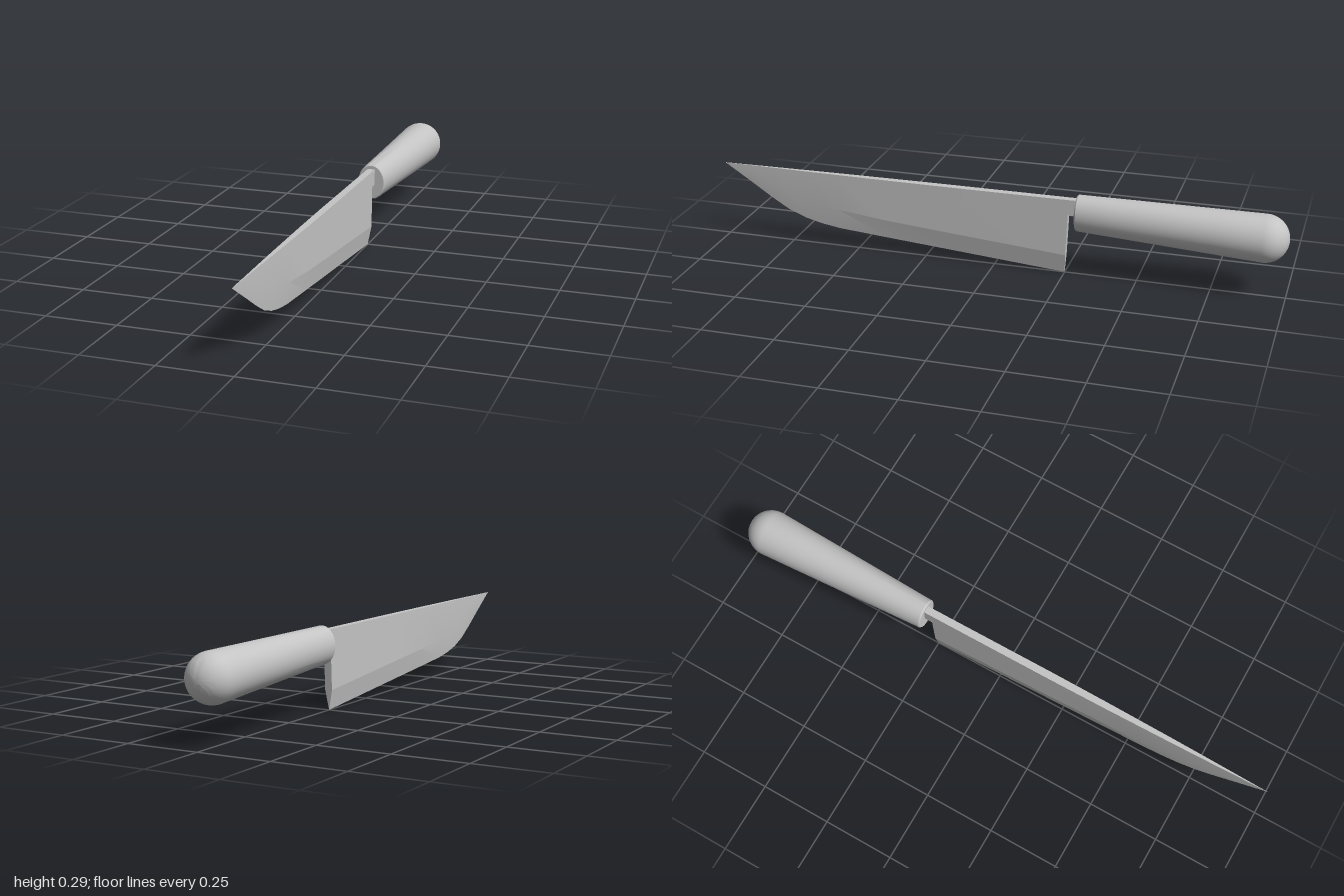
import * as THREE from 'three';
import { toCreasedNormals } from 'three/addons/utils/BufferGeometryUtils.js';

// Skin a list of rings (back to front, counter-clockwise seen from +z) and cap both ends
function loft(rings, crease) {
  const n = rings[0].length;
  const index = [];
  for (let i = 0; i < rings.length - 1; i++) {
    for (let j = 0; j < n; j++) {
      const k = (j + 1) % n;
      const a = i * n + j, b = i * n + k, c = b + n, d = a + n;
      index.push(a, b, c, a, c, d);
    }
  }
  const last = (rings.length - 1) * n;
  for (let j = 1; j < n - 1; j++) {
    index.push(0, j + 1, j);
    index.push(last, last + j, last + j + 1);
  }
  const geometry = new THREE.BufferGeometry();
  geometry.setAttribute('position', new THREE.Float32BufferAttribute(rings.flat(2), 3));
  geometry.setIndex(index);
  return toCreasedNormals(geometry, crease);
}

export function createModel() {
  const group = new THREE.Group();
  const grey = new THREE.MeshStandardMaterial({ color: 0xc4c4c4 });
  grey.name = 'satin grey';
  const add = (name, geometry) => {
    const mesh = new THREE.Mesh(geometry, grey);
    mesh.name = name;
    group.add(mesh);
    return mesh;
  };

  // Blade: [z, half thickness, bevel height, cutting edge height]
  const spine = 0.271;
  const sections = [
    [-0.25, 0.013, 0.068, 0],
    [0.2, 0.013, 0.105, 0.036],
    [0.4, 0.0115, 0.121, 0.052],
    [0.57, 0.009, 0.14, 0.066],
    [0.64, 0.008, 0.152, 0.077],
    [0.7, 0.0068, 0.163, 0.092],
    [0.76, 0.0056, 0.178, 0.116],
    [0.82, 0.0043, 0.198, 0.152],
    [0.9, 0.0024, 0.231, 0.205],
    [1, 0.0003, 0.2705, 0.27],
  ];
  const bladeRings = sections.map(([z, w, bevel, edge], i) =>
    [[w, spine], [-w, spine], [-w, bevel], [0, edge], [w, bevel]]
      // the heel leans slightly back toward the spine
      .map(([x, y]) => [x, y, i === 0 ? z - 0.045 * y : z]));
  add('blade', loft(bladeRings, 0.14));

  // Tang joining blade and handle
  add('tang', new THREE.BoxGeometry(0.026, 0.056, 0.06)).position.set(0, spine - 0.028, -0.291);

  // Handle: level top, oval at the front, swelling to a round butt
  const ring = (z, cy, rx, ry) => Array.from({ length: 40 }, (_, j) => {
    const a = (j / 40) * Math.PI * 2;
    return [rx * Math.cos(a), cy + ry * Math.sin(a), z];
  });
  const handleRings = [];
  const radius = 0.081;
  for (let i = 0; i <= 10; i++) {
    const a = 0.01 + (i / 10) * (Math.PI / 2 - 0.01);
    const r = radius * Math.sin(a);
    handleRings.push(ring(-0.919 - radius * Math.cos(a), 0.206, r, r));
  }
  for (let i = 1; i <= 4; i++) {
    const t = i / 4;
    handleRings.push(ring(
      THREE.MathUtils.lerp(-0.919, -0.293, t),
      THREE.MathUtils.lerp(0.206, 0.223, t),
      THREE.MathUtils.lerp(radius, 0.05, t),
      THREE.MathUtils.lerp(radius, 0.064, t)));
  }
  handleRings.push(ring(-0.288, 0.223, 0.046, 0.06));
  add('handle', loft(handleRings, 0.5));

  return group;
}
